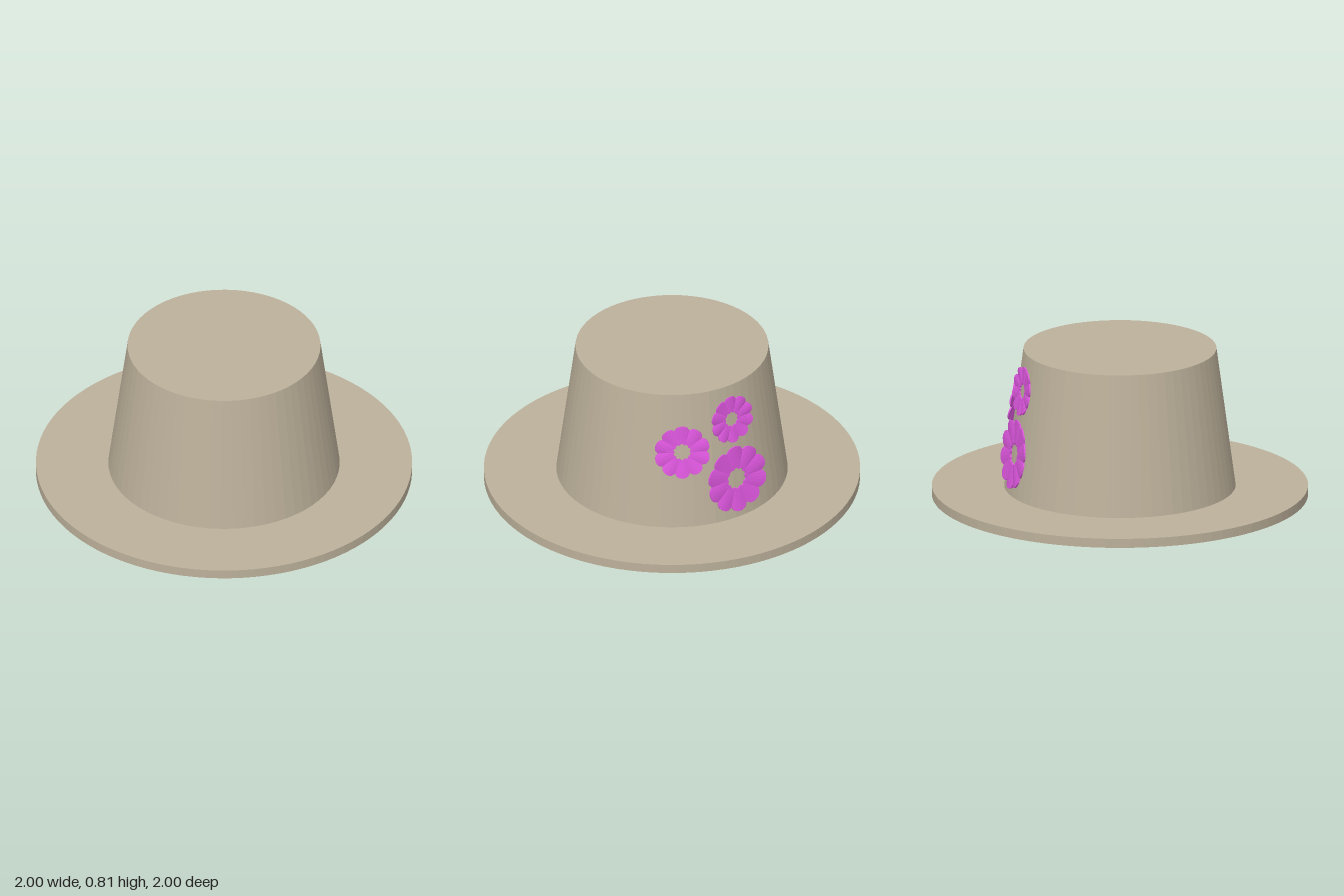
import * as THREE from 'three';

const felt = new THREE.MeshStandardMaterial({ name: 'beige felt', color: 0xbcb09a, flatShading: true });
const pink = new THREE.MeshStandardMaterial({ name: 'orchid petals', color: 0xdd57de, flatShading: true, side: THREE.DoubleSide });

const BRIM = 0.05, TOP = 0.81, R_BASE = 0.615, R_TOP = 0.513;
const tilt = Math.atan2(R_BASE - R_TOP, TOP - BRIM);

// Ring of ridged petals with a hole in the middle, lying in the xy plane and facing +z
function flowerGeometry(radius, petals = 10, steps = 6) {
  const n = petals * steps, positions = [], index = [];
  for (let i = 0; i < n; i++) {
    const angle = (i / n) * Math.PI * 2;
    const swell = Math.sin(((i % steps) / steps) * Math.PI); // 0 between petals, 1 mid petal
    const outer = radius * (0.86 + 0.14 * Math.sqrt(swell));
    const inner = radius * (0.27 + 0.05 * swell);
    const lift = 0.008 * swell;
    const section = [[inner, 0.004], [outer, 0.004 + lift], [outer, lift - 0.004], [inner, -0.004]];
    for (const [r, z] of section) positions.push(r * Math.cos(angle), r * Math.sin(angle), z);
    for (let k = 0; k < 4; k++) {
      const a = i * 4 + k, b = i * 4 + ((k + 1) % 4);
      const c = ((i + 1) % n) * 4 + ((k + 1) % 4), d = ((i + 1) % n) * 4 + k;
      index.push(a, b, c, a, c, d);
    }
  }
  const geometry = new THREE.BufferGeometry();
  geometry.setAttribute('position', new THREE.Float32BufferAttribute(positions, 3));
  geometry.setIndex(index);
  geometry.computeVertexNormals();
  return geometry;
}

// Flower laid against the sloping crown at a height and an angle round from +x
function makeFlower(name, radius, y, angle) {
  const geometry = flowerGeometry(radius).rotateY(Math.PI / 2).rotateZ(tilt);
  const mesh = new THREE.Mesh(geometry, pink);
  const r = R_BASE - (y - BRIM) * Math.tan(tilt) + 0.006;
  mesh.position.set(r * Math.cos(angle), y, -r * Math.sin(angle));
  mesh.rotation.y = angle;
  mesh.name = name;
  return mesh;
}

export function createModel() {
  const hat = new THREE.Group();
  hat.name = 'flowerHat';

  // Flat round brim
  const brim = new THREE.Mesh(new THREE.CylinderGeometry(1, 1, BRIM, 96), felt);
  brim.position.y = BRIM / 2;
  brim.name = 'brim';

  // Tapered crown with a flat top
  const crown = new THREE.Mesh(new THREE.CylinderGeometry(R_TOP, R_BASE, TOP - BRIM, 64), felt);
  crown.position.y = (TOP + BRIM) / 2;
  crown.name = 'crown';

  hat.add(
    brim, crown,
    makeFlower('middleFlower', 0.15, 0.485, 0),
    makeFlower('upperFlower', 0.133, 0.62, Math.PI / 6),
    makeFlower('lowerFlower', 0.188, 0.275, Math.PI / 6)
  );
  return hat;
}
